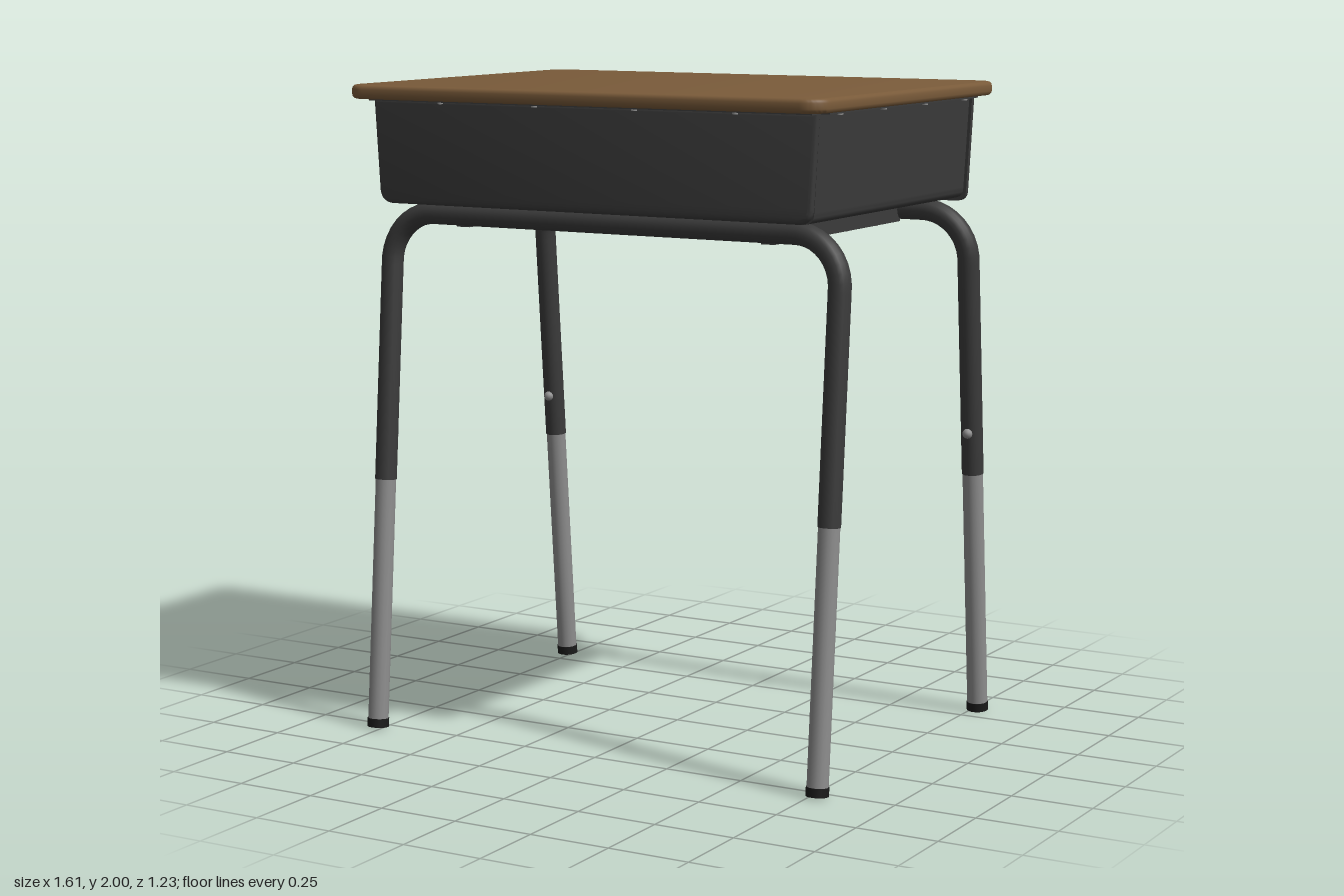
import * as THREE from 'three';
import { toCreasedNormals } from 'three/addons/utils/BufferGeometryUtils.js';

const paint = (name, color) => {
  const m = new THREE.MeshStandardMaterial({ color });
  m.name = name;
  return m;
};

export function createModel() {
  const wood = paint('brown wood', 0x7a5b3a);
  const dark = paint('dark grey metal', 0x3b3b3b);
  const steel = paint('grey steel', 0x8e8e8e);
  const rubber = paint('black rubber', 0x1a1a1a);

  const desk = new THREE.Group();
  desk.name = 'desk';
  const add = (name, geo, mat, x = 0, y = 0, z = 0, parent = desk) => {
    const mesh = new THREE.Mesh(geo, mat);
    mesh.name = name;
    mesh.position.set(x, y, z);
    parent.add(mesh);
    return mesh;
  };
  const extrude = (shape, depth, bevel = 0, segments = 3) => toCreasedNormals(
    new THREE.ExtrudeGeometry(shape, {
      depth: depth - 2 * bevel, curveSegments: 8, bevelEnabled: bevel > 0,
      bevelSize: bevel, bevelThickness: bevel, bevelSegments: segments,
    }).translate(0, 0, bevel), 0.6);

  // Worktop: rounded slab with a softened edge
  const edge = 0.013, w = 0.805 - edge, d = 0.6025 - edge, r = 0.055;
  const slab = new THREE.Shape();
  slab.moveTo(-w + r, -d);
  slab.absarc(w - r, -d + r, r, -Math.PI / 2, 0);
  slab.absarc(w - r, d - r, r, 0, Math.PI / 2);
  slab.absarc(-w + r, d - r, r, Math.PI / 2, Math.PI);
  slab.absarc(-w + r, -d + r, r, Math.PI, Math.PI * 1.5);
  add('worktop', extrude(slab, 0.042, edge).rotateX(-Math.PI / 2), wood, 0, 1.958, 0.0125);

  // Book box: tapered U section, closed at the front and open at the back
  const top = 1.958;
  const section = (grow) => {
    const a = 0.752 + grow, b = 0.736 + grow, y = 1.642 - grow, c = 0.035;
    return [[a, top], [b, y + c], [b, y], [b - c, y]];
  };
  const drawDown = (s, [p, q, k, e]) => {
    s.lineTo(-p[0], p[1]);
    s.lineTo(-q[0], q[1]);
    s.quadraticCurveTo(-k[0], k[1], -e[0], e[1]);
    s.lineTo(e[0], e[1]);
    s.quadraticCurveTo(k[0], k[1], q[0], q[1]);
    s.lineTo(p[0], p[1]);
  };
  const trough = (outer, inner) => {
    const s = new THREE.Shape();
    const o = section(outer), [p, q, k, e] = section(inner);
    s.moveTo(-o[0][0], top);
    drawDown(s, o);
    s.lineTo(p[0], top);
    s.lineTo(q[0], q[1]);
    s.quadraticCurveTo(k[0], k[1], e[0], e[1]);
    s.lineTo(-e[0], e[1]);
    s.quadraticCurveTo(-k[0], k[1], -q[0], q[1]);
    s.lineTo(-p[0], top);
    return s;
  };
  add('bookBox', extrude(trough(0, -0.01), 1.01), dark, 0, 0, -0.495);
  add('openingRim', extrude(trough(0.009, -0.012), 0.016), dark, 0, 0, -0.505);
  const panel = new THREE.Shape();
  const inset = section(-0.012);
  panel.moveTo(-inset[0][0], top - 0.013);
  inset[0][1] = top - 0.013;
  drawDown(panel, inset);
  add('frontPanel', extrude(panel, 0.03, 0.012), dark, 0, 0, 0.505);

  // Mounting flanges and screws below the worktop
  const screw = new THREE.CylinderGeometry(0.009, 0.009, 0.006, 10);
  for (const s of [-1, 1]) {
    add('sideFlange', new THREE.BoxGeometry(0.03, 0.006, 1.0), dark, s * 0.765, 1.955, 0.01);
    for (const z of [-0.42, -0.14, 0.14, 0.42])
      add('flangeScrew', screw, steel, s * 0.766, 1.95, z);
  }
  add('frontFlange', new THREE.BoxGeometry(1.5, 0.006, 0.03), dark, 0, 1.955, 0.545);
  for (const x of [-0.5, -0.17, 0.17, 0.5])
    add('flangeScrew', screw, steel, x, 1.95, 0.547);

  // Cross bars under the box
  for (const s of [-1, 1]) {
    add('crossBar', new THREE.BoxGeometry(0.045, 0.075, 0.83), dark, s * 0.525, 1.604, -0.02);
    for (const z of [-0.3, -0.1, 0.1, 0.3])
      add('barScrew', screw, steel, s * 0.525, 1.565, z);
  }

  // Leg frames: bent tube, extension tubes, feet and adjusting buttons
  const H = 1.606, X = 0.77, R = 0.15, K = R * 0.45;
  const legFrame = (name, zTop, zFoot) => {
    const frame = new THREE.Group();
    frame.name = name;
    desk.add(frame);
    const at = (x, y) => new THREE.Vector3(x, y, zFoot + (zTop - zFoot) * y / H);
    const path = new THREE.CurvePath();
    path.add(new THREE.LineCurve3(at(-X, 0.778), at(-X, H - R)));
    path.add(new THREE.CubicBezierCurve3(at(-X, H - R), at(-X, H - K), at(-X + K, H), at(-X + R, H)));
    path.add(new THREE.LineCurve3(at(-X + R, H), at(X - R, H)));
    path.add(new THREE.CubicBezierCurve3(at(X - R, H), at(X - K, H), at(X, H - K), at(X, H - R)));
    path.add(new THREE.LineCurve3(at(X, H - R), at(X, 0.778)));
    add('bentTube', new THREE.TubeGeometry(path, 120, 0.034, 16), dark, 0, 0, 0, frame);

    const tilt = Math.atan2(zTop - zFoot, H);
    const inward = -Math.sign(zFoot);
    const rod = (part, radius, x, y0, y1, mat) => {
      const a = at(x, y0), b = at(x, y1);
      const mesh = add(part, new THREE.CylinderGeometry(radius, radius, a.distanceTo(b), 16), mat, 0, 0, 0, frame);
      mesh.position.copy(a).lerp(b, 0.5);
      mesh.rotation.x = tilt;
    };
    for (const x of [-X, X]) {
      rod('extensionTube', 0.032, x, 0.025, 0.82, steel);
      rod('footCap', 0.034, x, 0.003, 0.03, rubber);
      const p = at(x, 0.91);
      add('adjustingButton', new THREE.SphereGeometry(0.016, 12, 8), steel,
        x, p.y, p.z + inward * 0.033, frame);
    }
  };
  legFrame('frontLegs', 0.408, 0.537);
  legFrame('backLegs', -0.447, -0.583);

  return desk;
}
